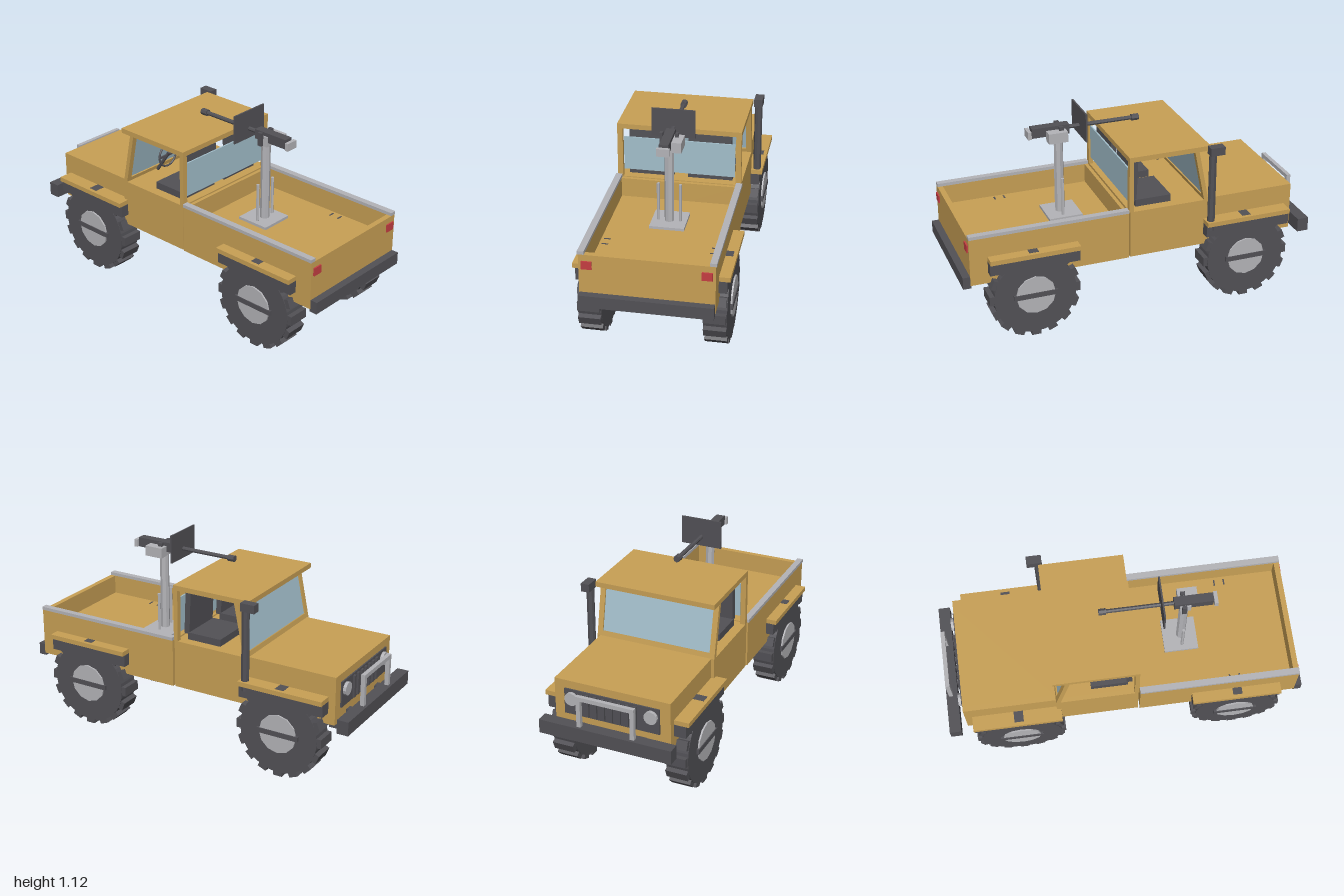
import * as THREE from 'three';

const mat = (name, color) => Object.assign(new THREE.MeshStandardMaterial({ color, flatShading: true }), { name });

export function createModel() {
  const tan = mat('sand paint', 0xc8a055);
  const dark = mat('dark rubber and steel', 0x525156);
  const grey = mat('light metal', 0xb4b4b8);
  const red = mat('tail light red', 0xc53e42);
  const glass = mat('window glass', 0xa3bfcb);

  const model = new THREE.Group();
  model.name = 'pickupTruck';

  const group = (name, parent = model) => {
    const g = new THREE.Group();
    g.name = name;
    parent.add(g);
    return g;
  };
  const add = (name, geo, m, parent) => {
    const mesh = new THREE.Mesh(geo, m);
    mesh.name = name;
    parent.add(mesh);
    return mesh;
  };
  // Box given by its extents on each axis
  const box = (name, m, [x0, x1], [y0, y1], [z0, z1], parent = model) => {
    const mesh = add(name, new THREE.BoxGeometry(Math.abs(x1 - x0), y1 - y0, Math.abs(z1 - z0)), m, parent);
    mesh.position.set((x0 + x1) / 2, (y0 + y1) / 2, (z0 + z1) / 2);
    return mesh;
  };
  const cyl = (name, m, r, len, sides, axis, pos, parent = model) => {
    const geo = new THREE.CylinderGeometry(r, r, len, sides);
    if (axis === 'x') geo.rotateZ(Math.PI / 2);
    if (axis === 'z') geo.rotateX(Math.PI / 2);
    const mesh = add(name, geo, m, parent);
    mesh.position.set(...pos);
    return mesh;
  };
  const sides = [-1, 1];
  const pair = (name, m, [x0, x1], y, z, parent = model) =>
    sides.forEach((s) => box(name, m, [s * x0, s * x1], y, z, parent));

  // Cargo bed
  const bed = group('cargoBed');
  pair('bedSide', tan, [0.32, 0.35], [0.35, 0.62], [0.075, 0.96], bed);
  pair('bedRail', grey, [0.32, 0.355], [0.62, 0.638], [0.075, 0.96], bed);
  box('tailgate', tan, [-0.32, 0.32], [0.35, 0.62], [0.93, 0.96], bed);
  box('bedFrontWall', tan, [-0.32, 0.32], [0.35, 0.62], [0.075, 0.095], bed);
  box('bedFloor', tan, [-0.32, 0.32], [0.485, 0.51], [0.095, 0.93], bed);
  pair('tailLight', red, [0.28, 0.335], [0.54, 0.585], [0.96, 0.968], bed);
  for (const z of [0.59, 0.645]) pair('floorSlot', dark, [0.27, 0.305], [0.51, 0.512], [z - 0.004, z + 0.004], bed);

  // Cab tub and engine bay, open below
  const body = group('cabBody');
  pair('cabSide', tan, [0.32, 0.345], [0.35, 0.62], [-0.39, 0.065], body);
  box('cabDeck', tan, [-0.32, 0.32], [0.595, 0.62], [-0.39, 0.065], body);
  box('cabRearWall', tan, [-0.32, 0.32], [0.35, 0.595], [0.045, 0.065], body);
  box('firewall', tan, [-0.32, 0.32], [0.35, 0.595], [-0.39, -0.37], body);
  pair('hoodSide', tan, [0.3, 0.328], [0.35, 0.62], [-0.9, -0.39], body);
  box('hood', tan, [-0.3, 0.3], [0.595, 0.62], [-0.9, -0.39], body);
  box('nosePanel', tan, [-0.3, 0.3], [0.35, 0.595], [-0.9, -0.875], body);

  // Roof, pillars and windows
  const cab = group('cabTop');
  box('roof', tan, [-0.345, 0.345], [0.912, 0.94], [-0.395, 0.07], cab);
  pair('rearPillar', tan, [0.315, 0.345], [0.62, 0.912], [0.045, 0.07], cab);
  box('rearWindow', glass, [-0.31, 0.31], [0.665, 0.86], [0.053, 0.062], cab);
  const shield = group('windshield', cab);
  shield.position.set(0, 0.615, -0.378);
  shield.rotation.x = 0.2;
  pair('windshieldPost', tan, [0.315, 0.345], [0, 0.31], [-0.012, 0.012], shield);
  box('windshieldSill', tan, [-0.315, 0.315], [0, 0.03], [-0.012, 0.012], shield);
  box('windshieldHeader', tan, [-0.315, 0.315], [0.295, 0.31], [-0.012, 0.012], shield);
  box('windshieldGlass', glass, [-0.315, 0.315], [0.03, 0.295], [-0.004, 0.004], shield);

  // Seats and steering
  const interior = group('interior');
  pair('seatCushion', dark, [0.04, 0.29], [0.62, 0.66], [-0.19, 0.015], interior);
  for (const s of sides) {
    box('seatBack', dark, [s * 0.045, s * 0.285], [0.65, 0.892], [0.003, 0.035], interior).rotation.x = -0.04;
  }
  const wheelRim = add('steeringWheel', new THREE.TorusGeometry(0.065, 0.006, 6, 16), dark, interior);
  wheelRim.position.set(-0.165, 0.77, -0.222);
  box('steeringSpoke', dark, [-0.23, -0.1], [0.764, 0.776], [-0.226, -0.218], interior);
  const column = cyl('steeringColumn', dark, 0.01, 0.16, 8, 'y', [-0.165, 0.725, -0.255], interior);
  column.rotation.x = Math.atan2(0.09, 0.13);

  // Chassis and bumpers
  const chassis = group('chassis');
  pair('frameRail', dark, [0.15, 0.195], [0.292, 0.352], [-0.9, 0.91], chassis);
  for (const z of [-0.82, -0.4, 0.1, 0.45, 0.87]) {
    box('crossMember', dark, [-0.15, 0.15], [0.302, 0.35], [z - 0.025, z + 0.025], chassis);
  }
  box('rearBumper', dark, [-0.348, 0.348], [0.335, 0.403], [0.955, 1], chassis);
  box('frontBumper', dark, [-0.375, 0.375], [0.335, 0.413], [-1, -0.935], chassis);
  pair('bumperBracket', dark, [0.15, 0.195], [0.345, 0.39], [-0.94, -0.89], chassis);
  pair('rearBumperBracket', dark, [0.15, 0.195], [0.31, 0.39], [0.9, 0.96], chassis);

  // Grille, headlights and bull bar
  const front = group('frontEnd');
  box('grillePanel', dark, [-0.27, 0.27], [0.43, 0.575], [-0.908, -0.9], front);
  for (let i = -3; i <= 3; i++) {
    box('grilleSlat', dark, [i * 0.045 - 0.009, i * 0.045 + 0.009], [0.44, 0.565], [-0.92, -0.908], front);
  }
  for (const s of sides) cyl('headlight', grey, 0.037, 0.02, 12, 'z', [s * 0.225, 0.525, -0.915], front);
  pair('bullBarPost', grey, [0.14, 0.163], [0.41, 0.59], [-0.985, -0.962], front);
  box('bullBarTop', grey, [-0.14, 0.14], [0.567, 0.59], [-0.985, -0.962], front);

  // Wheels with lugs, and the fenders above them
  for (const s of sides) {
    for (const [z, zf] of [[0.62, 0.615], [-0.605, -0.613]]) {
      const wheel = group('wheel');
      wheel.position.set(s * 0.33, 0.255, z);
      cyl('tyre', dark, 0.228, 0.126, 32, 'x', [0, 0, 0], wheel);
      cyl('hub', grey, 0.11, 0.144, 12, 'x', [0, 0, 0], wheel);
      box('hubBar', dark, [-0.077, 0.077], [-0.014, 0.014], [-0.122, 0.122], wheel);
      for (let i = 0; i < 16; i++) {
        const geo = new THREE.BoxGeometry(0.12, 0.05, 0.052).translate(0, 0.227, 0);
        add('treadLug', geo, dark, wheel).rotation.x = (i * Math.PI) / 8;
      }
      const fender = group('fender');
      box('fenderTop', tan, [s * 0.32, s * 0.41], [0.48, 0.506], [zf - 0.248, zf + 0.248], fender);
      box('fenderLiner', dark, [s * 0.325, s * 0.394], [0.412, 0.48], [zf - 0.248, zf + 0.248], fender);
    }
  }

  // Raised air intake
  const intake = group('airIntake');
  cyl('intakePipe', dark, 0.022, 0.46, 8, 'y', [0.377, 0.68, -0.395], intake);
  box('intakeHead', dark, [0.352, 0.4], [0.9, 0.946], [-0.457, -0.374], intake);

  // Bed mount: base plate, post and braces
  const mount = group('bedMount');
  box('basePlate', grey, [-0.095, 0.095], [0.51, 0.525], [0.25, 0.44], mount);
  cyl('mountPost', grey, 0.026, 0.45, 8, 'y', [0, 0.745, 0.352], mount);
  box('mountCradle', grey, [-0.033, 0.033], [0.962, 1.02], [0.325, 0.385], mount);
  for (const s of sides) cyl('mountBrace', grey, 0.009, 0.22, 6, 'y', [s * 0.06, 0.632, 0.352], mount);

  // Mounted gun
  const gun = group('mountedGun');
  box('receiver', dark, [-0.025, 0.025], [0.986, 1.04], [0.295, 0.505], gun);
  pair('cradleArm', dark, [0.033, 0.05], [0.965, 1.04], [0.335, 0.36], gun);
  box('rearGrip', grey, [-0.035, 0.035], [0.985, 1.028], [0.51, 0.53], gun);
  box('gripStem', dark, [-0.012, 0.012], [0.995, 1.02], [0.5, 0.512], gun);
  box('ammoBox', grey, [0.025, 0.078], [0.962, 1.02], [0.32, 0.427], gun);
  cyl('barrel', dark, 0.012, 0.39, 8, 'z', [0, 1.016, 0.11], gun);
  cyl('muzzle', dark, 0.019, 0.04, 8, 'z', [0, 1.016, -0.088], gun);
  box('gunShield', dark, [-0.118, 0.118], [0.962, 1.122], [0.225, 0.234], gun);

  return model;
}
